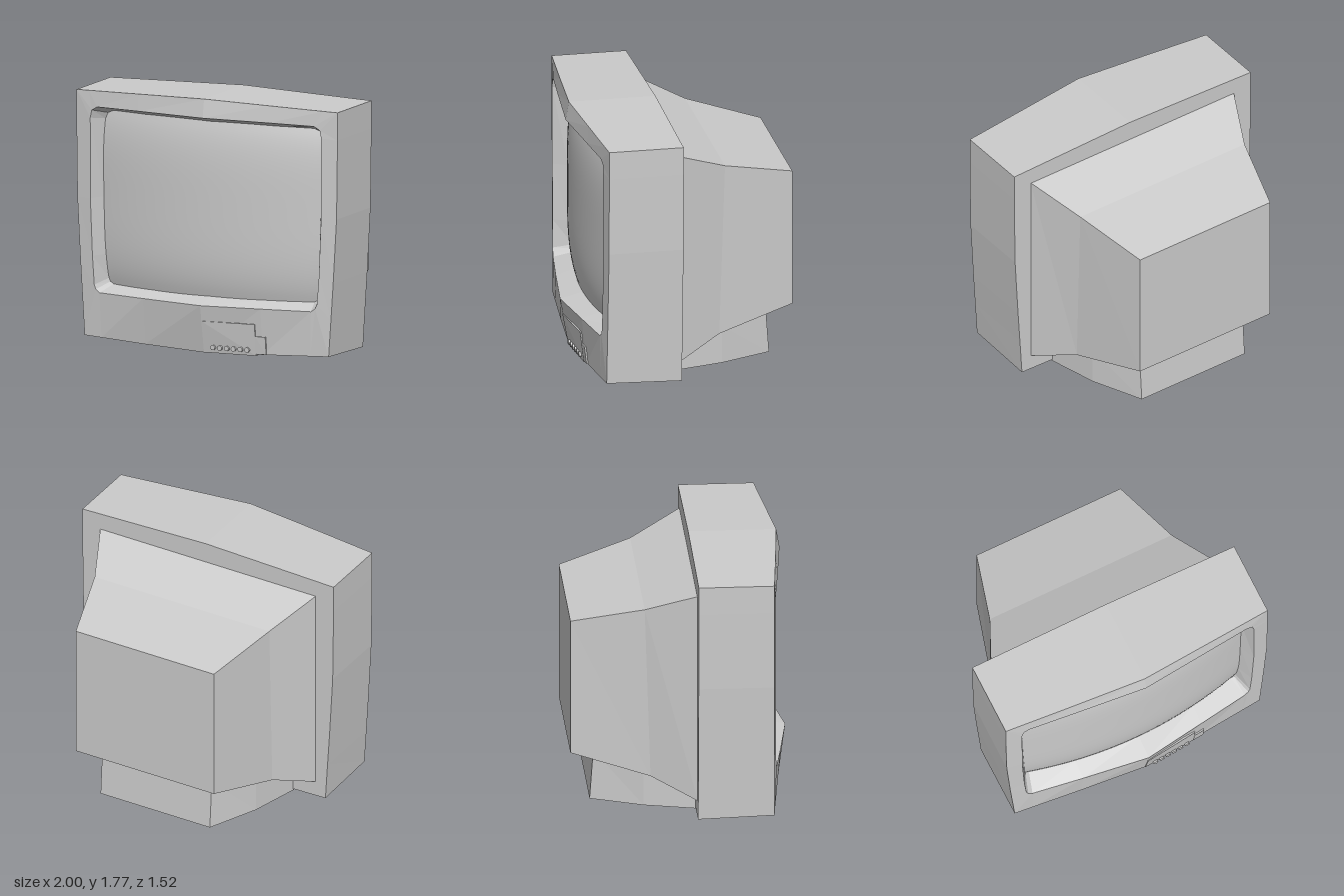
import * as THREE from 'three';
import { mergeVertices } from 'three/addons/utils/BufferGeometryUtils.js';

const flat = new THREE.MeshStandardMaterial({ color: 0xcccccc, flatShading: true });
const smooth = new THREE.MeshStandardMaterial({ color: 0xcccccc });

// Skin a series of loops (clockwise seen from the front, ordered back to front).
function loft(loops, capBack, capFront) {
  const pos = [];
  const tri = (...pts) => pts.forEach(p => pos.push(...p));
  const n = loops[0].length;
  for (let k = 0; k < loops.length - 1; k++) {
    for (let i = 0; i < n; i++) {
      const j = (i + 1) % n;
      const [a, b, c, d] = [loops[k][i], loops[k][j], loops[k + 1][i], loops[k + 1][j]];
      tri(a, c, b);
      tri(b, c, d);
    }
  }
  const first = loops[0], last = loops[loops.length - 1];
  for (let i = 1; i < n - 1; i++) {
    if (capBack) tri(first[0], first[i], first[i + 1]);
    if (capFront) tri(last[0], last[i + 1], last[i]);
  }
  const g = new THREE.BufferGeometry();
  g.setAttribute('position', new THREE.Float32BufferAttribute(pos, 3));
  g.computeVertexNormals();
  return g;
}

// Close a right-hand outline (top centre to bottom centre) by mirroring it.
const mirrorLoop = half => [
  ...half,
  ...half.slice(1, -1).reverse().map(([x, y]) => [-x, y]),
];
const withZ = (loop, fz) => loop.map(([x, y]) => [x, y, fz(x, y)]);

// Rectangle loop; z may differ at top and bottom
const rect = (hw, y0, y1, zTop, zBottom = zTop) => [
  [-hw, y1, zTop], [hw, y1, zTop], [hw, y0, zBottom], [-hw, y0, zBottom],
];

// Bulged picture tube face
const screenZ = (x, y) => 0.64 - 0.12 * (x / 0.84) ** 2 - 0.045 * ((y - 1) / 0.61) ** 4;

// Sloping bezel below the screen
const bezelZ = (x, y) =>
  0.69 - 0.085 * Math.abs(x) + ((y - 0.01) / 0.335) * (0.065 - 0.057 * Math.abs(x));

export function createModel() {
  const model = new THREE.Group();
  const add = (name, geometry, material = flat) => {
    const mesh = new THREE.Mesh(geometry, material);
    mesh.name = name;
    model.add(mesh);
    return mesh;
  };

  // Cabinet: outer shell, bezel and recess walls in one skin
  const outer = mirrorLoop([
    [0.02, 1.775], [0.5, 1.76], [0.9, 1.748], [1, 1.745], [1, 1.55], [0.993, 1],
    [0.968, 0.55], [0.952, 0.3], [0.935, 0.04], [0.8, 0.035], [0.45, 0.022], [0.02, 0.01],
  ]);
  const opening = mirrorLoop([
    [0.02, 1.645], [0.5, 1.643], [0.83, 1.64], [0.873, 1.615], [0.885, 1.56], [0.884, 1],
    [0.868, 0.6], [0.853, 0.4], [0.84, 0.37], [0.81, 0.348], [0.45, 0.346], [0.02, 0.345],
  ]);
  const tubeEdge = mirrorLoop([
    [0.02, 1.605], [0.5, 1.604], [0.77, 1.6], [0.815, 1.58], [0.832, 1.54], [0.831, 1],
    [0.817, 0.6], [0.806, 0.43], [0.795, 0.405], [0.77, 0.39], [0.45, 0.386], [0.02, 0.385],
  ]);
  add('cabinet', loft([
    outer.map(([x, y]) => [x, y < 0.1 ? y * 0.6 : y, 0.085]),
    withZ(outer, x => 0.605 + 0.087 * (1 - Math.abs(x))),
    withZ(opening, (x, y) => 0.625 + (y > 1 ? 0.09 : 0.13) * Math.max(0, 1 - Math.abs(x) / 0.87)),
    withZ(tubeEdge, screenZ),
  ], true, false));

  // Screen: smooth plate bent by the tube curve, its rim tucked behind the recess
  const screen = new THREE.PlaneGeometry(2, 1.24, 32, 24);
  const p = screen.attributes.position;
  for (let i = 0; i < p.count; i++) {
    const y = p.getY(i) + 0.995;
    const x = p.getX(i) * (0.84 - 0.035 * Math.max(0, (1 - y) / 0.6));
    p.setXYZ(i, x, y, screenZ(x, y));
  }
  screen.deleteAttribute('uv');
  screen.deleteAttribute('normal');
  const screenGeo = mergeVertices(screen);
  screenGeo.computeVertexNormals();
  add('screen', screenGeo, smooth);

  // Rear housing stepping in towards the back
  add('rearHousing', loft([
    rect(0.55, 0.39, 1.355, -0.765),
    rect(0.695, 0.26, 1.48, -0.265, -0.225),
    rect(0.86, 0.13, 1.63, 0.09),
  ], true, false));

  // Foot under the rear housing
  add('rearFoot', loft([
    rect(0.435, 0.008, 0.36, -0.6, -0.625),
    rect(0.59, 0.008, 0.275, -0.265),
    rect(0.68, 0.008, 0.15, 0.09),
  ], true, false));

  // Thin plates that follow the sloping bezel
  const plate = (name, x0, x1, y0, y1, lift) => {
    const at = dz => [[x0, y1], [x1, y1], [x1, y0], [x0, y0]]
      .map(([x, y]) => [x, y, bezelZ(x, y) + dz]);
    add(name, loft([at(-0.03), at(lift)], true, true));
  };
  plate('controlPanel', 0.022, 0.405, 0.012, 0.235, 0.006);
  plate('sideFlap', 0.405, 0.48, 0.025, 0.15, 0.009);

  // Row of push buttons
  for (let i = 0; i < 6; i++) {
    const x = 0.095 + i * 0.05;
    const button = add('button', new THREE.CylinderGeometry(0.018, 0.018, 0.04, 12));
    button.rotation.x = Math.PI / 2;
    button.position.set(x, 0.052, bezelZ(x, 0.052) + 0.002);
  }

  return model;
}
